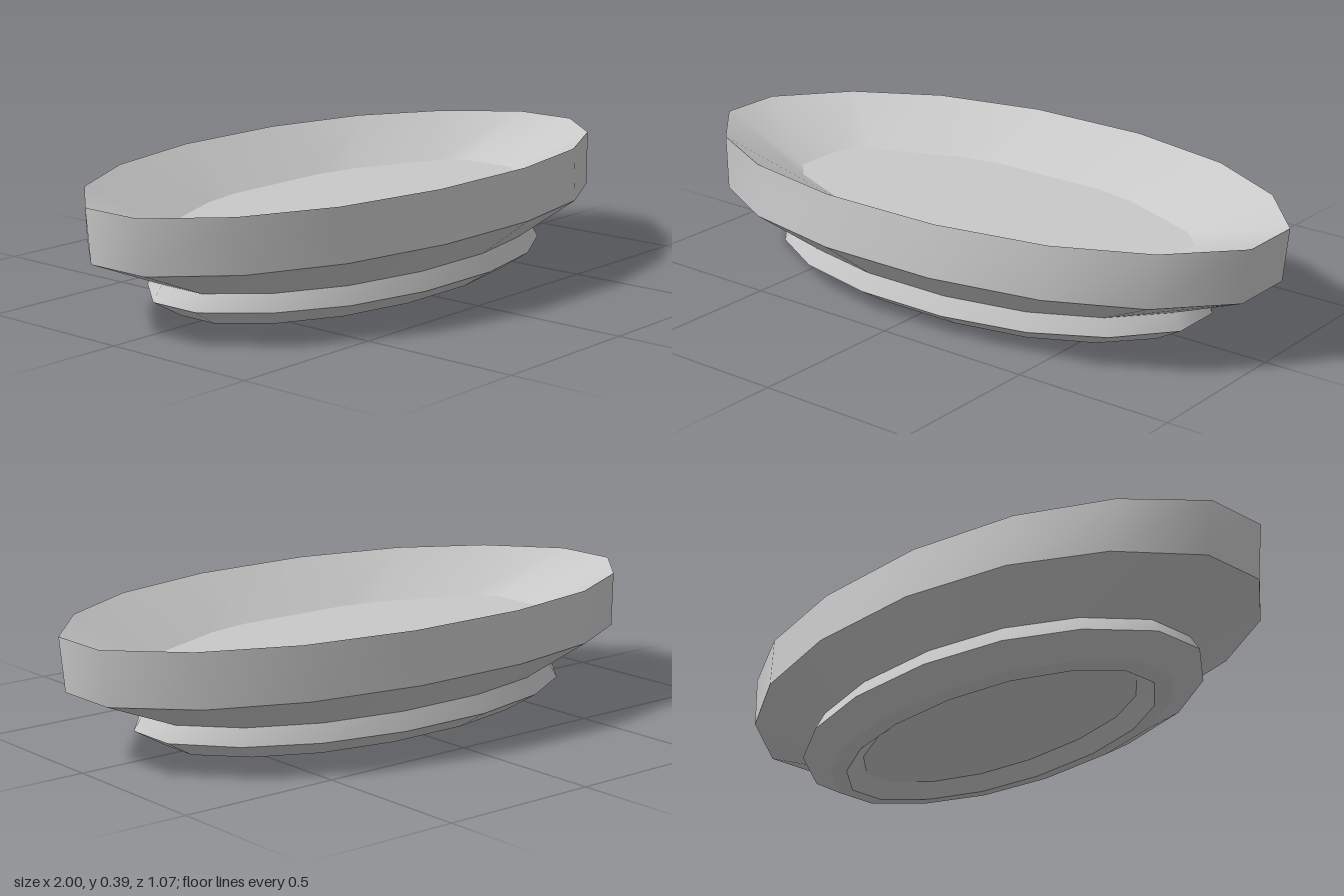
import * as THREE from 'three';

// One quarter of the sixteen-sided oval, as fractions of the half length and half width
const OVAL = [[1, 0.2], [0.82, 0.59], [0.55, 0.86], [0.2, 1]];
const FLOOR = [[1, 0.3], [0.9, 0.53], [0.49, 0.91], [0.29, 1]];

// Closed ring mirrored from a quarter; crown lifts the long sides a little
function ring(halfX, halfZ, y, crown = 0, quarter = OVAL) {
  const back = [...quarter].reverse();
  const outline = [
    ...quarter,
    ...back.map(([x, z]) => [-x, z]),
    ...quarter.map(([x, z]) => [-x, -z]),
    ...back.map(([x, z]) => [x, -z]),
  ];
  return outline.map(([x, z]) => [x * halfX, y + crown * z * z, z * halfZ]);
}

function surface(points, index) {
  const g = new THREE.BufferGeometry();
  g.setAttribute('position', new THREE.Float32BufferAttribute(points.flat(), 3));
  g.setIndex(index);
  g.computeVertexNormals();
  return g;
}

// Wall joining consecutive rings, smooth around the oval; lower ring first faces outward
function band(...rings) {
  const n = rings[0].length, index = [];
  for (let r = 0; r < rings.length - 1; r++) {
    for (let i = 0; i < n; i++) {
      const a = r * n + i, b = r * n + (i + 1) % n;
      index.push(a, a + n, b, b, a + n, b + n);
    }
  }
  return surface(rings.flat(), index);
}

// Fan closing a ring around a centre point
function cap(edge, centreY, up) {
  const n = edge.length, index = [];
  for (let i = 0; i < n; i++) {
    const j = (i + 1) % n;
    index.push(n, ...(up ? [j, i] : [i, j]));
  }
  return surface([...edge, [0, centreY, 0]], index);
}

export function createModel() {
  const model = new THREE.Group();
  model.name = 'ovalDish';
  const ceramic = new THREE.MeshStandardMaterial({ color: 0xc8c8c8 });
  ceramic.name = 'pale grey ceramic';

  const recess = ring(0.55, 0.25, 0.04);
  const lip = ring(0.61, 0.295, 0);
  const base = ring(0.67, 0.34, 0.007);
  const foot = ring(0.765, 0.425, 0.062);
  const neck = ring(0.735, 0.4, 0.11, 0.006);
  const shoulder = ring(0.98, 0.533, 0.21, 0.018);
  const rim = ring(1, 0.513, 0.377, 0.01);
  const floor = ring(0.69, 0.305, 0.257, 0, FLOOR);

  const parts = {
    underside: cap(recess, 0.045, false),
    recessWall: band(recess, lip),
    baseRing: band(lip, base),
    footBevel: band(base, foot),
    footCollar: band(foot, neck),
    bowlUnderside: band(neck, shoulder),
    outerWall: band(shoulder, rim),
    innerSlope: band(rim, floor),
    dishFloor: cap(floor, 0.257, true),
  };
  for (const [name, geometry] of Object.entries(parts)) {
    const mesh = new THREE.Mesh(geometry, ceramic);
    mesh.name = name;
    model.add(mesh);
  }
  return model;
}
